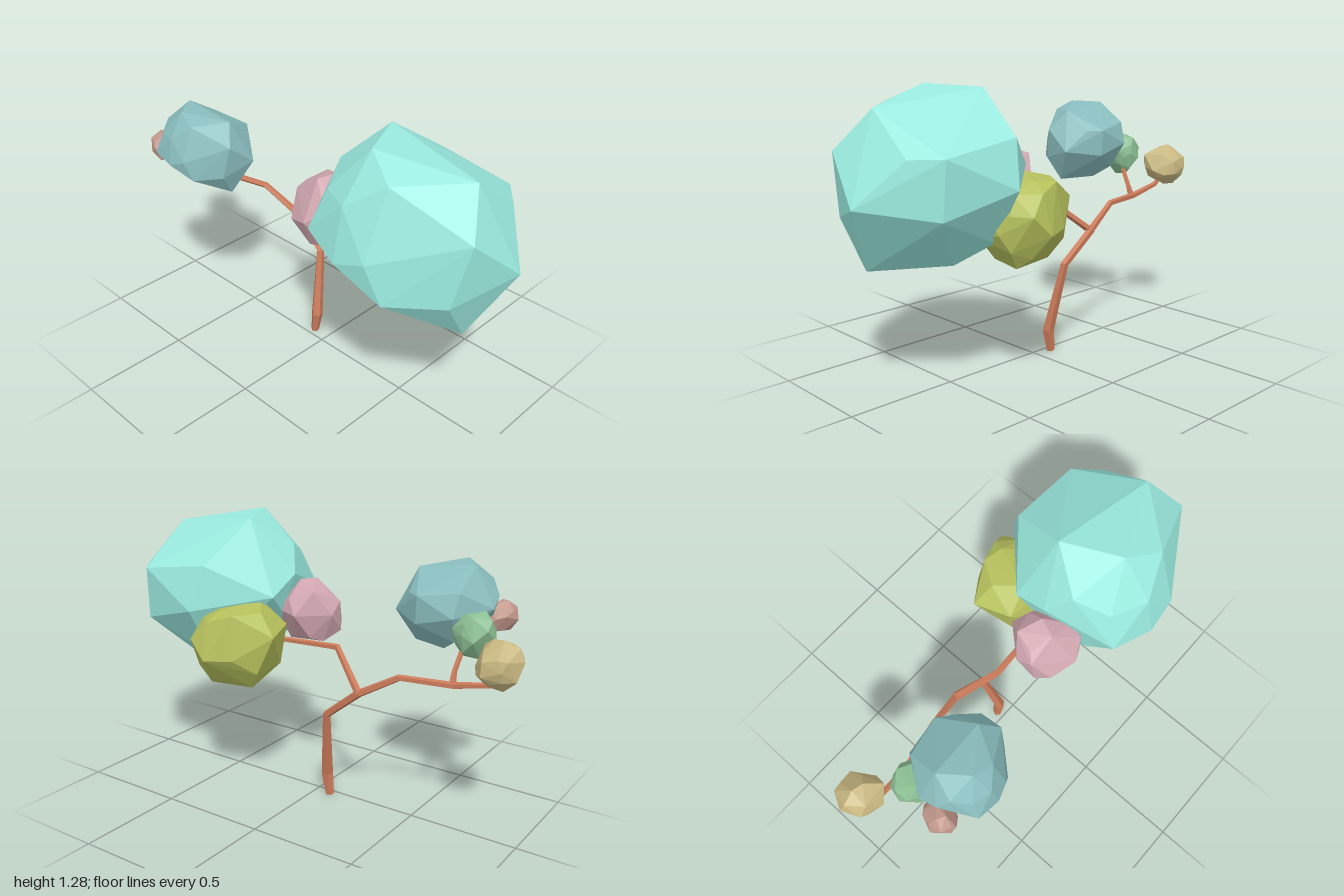
import * as THREE from 'three';
import { ConvexGeometry } from 'three/addons/geometries/ConvexGeometry.js';

const V = (x, y, z) => new THREE.Vector3(x, y, z);

// Corner points of the faceted leaf clump that every clump is a turned, resized copy of
const CLUMP = [
  [0.34, 1.27, -0.06], [0.455, 1.28, 0.19], [0.83, 1.21, 0.02], [0.93, 1.04, 0.16],
  [1.0, 0.845, -0.065], [0.855, 0.556, 0.07], [0.56, 0.56, -0.115], [0.845, 1.035, -0.21],
  [0.75, 1.04, -0.325], [0.44, 0.89, -0.385], [0.61, 1.205, 0.27], [0.6, 0.91, 0.385],
  [0.455, 0.86, 0.4], [0.26, 0.91, 0.34], [0.3, 1.08, 0.27], [0.45, 1.09, 0.345],
  [0.23, 1.14, 0.12], [0.165, 0.94, -0.13], [0.25, 0.73, 0.2], [0.455, 0.61, 0.1],
  [0.67, 0.745, 0.36], [0.88, 0.76, 0.21], [0.4, 1.09, -0.325], [0.76, 0.8, -0.31],
  [0.45, 0.66, -0.25], [0.19, 0.84, -0.02], [0.16, 1.02, 0.03],
];

const material = (color) => new THREE.MeshStandardMaterial({ color, flatShading: true });

// Leaf clump: turn the corner points, fit them into a box of the given centre and size, then yaw it
function clump(name, color, centre, size, turn = [0, 0, 0], yaw = 0) {
  const rotation = new THREE.Euler(...turn);
  const points = CLUMP.map((p) => V(...p).applyEuler(rotation));
  const from = new THREE.Box3().setFromPoints(points);
  const middle = from.getCenter(V(0, 0, 0));
  const scale = V(...size).divide(from.getSize(V(0, 0, 0)));
  points.forEach((p) => p.sub(middle).multiply(scale));
  const mesh = new THREE.Mesh(new ConvexGeometry(points), material(color));
  mesh.name = name;
  mesh.position.set(...centre);
  mesh.rotation.y = yaw;
  return mesh;
}

// Branch: five-sided rings swept along [x, y, z, radius] stations, with closed ends
function branch(name, stations, mat) {
  const sides = 5;
  const centres = stations.map((s) => V(s[0], s[1], s[2]));
  const last = centres.length - 1;
  const positions = [];
  const index = [];
  centres.forEach((c, j) => {
    const t = V(0, 0, 0);
    if (j > 0) t.add(c.clone().sub(centres[j - 1]).normalize());
    if (j < last) t.add(centres[j + 1].clone().sub(c).normalize());
    t.normalize();
    const n = V(0, 0, 1).addScaledVector(t, -t.z).normalize();
    const b = t.clone().cross(n);
    for (let i = 0; i < sides; i++) {
      const a = (i / sides) * Math.PI * 2;
      const p = c.clone()
        .addScaledVector(n, Math.cos(a) * stations[j][3])
        .addScaledVector(b, Math.sin(a) * stations[j][3]);
      positions.push(p.x, p.y, p.z);
      if (j < last) {
        const k = (i + 1) % sides;
        const lower = j * sides;
        const upper = lower + sides;
        index.push(lower + i, lower + k, upper + k, lower + i, upper + k, upper + i);
      }
    }
  });
  for (let i = 1; i < sides - 1; i++) {
    const end = last * sides;
    index.push(0, i + 1, i, end, end + i, end + i + 1);
  }
  const geometry = new THREE.BufferGeometry();
  geometry.setAttribute('position', new THREE.Float32BufferAttribute(positions, 3));
  geometry.setIndex(index);
  geometry.computeVertexNormals();
  const mesh = new THREE.Mesh(geometry, mat);
  mesh.name = name;
  return mesh;
}

export function createModel() {
  const tree = new THREE.Group();
  tree.name = 'tree';

  // Trunk and branches
  const bark = material(0xcb7b5a);
  tree.add(
    branch('trunk', [
      [-0.083, 0.004, -0.036, 0.02], [-0.067, 0.11, -0.035, 0.028],
      [-0.107, 0.435, -0.1, 0.019], [-0.28, 0.575, -0.11, 0.019],
    ], bark),
    branch('leftBranch', [
      [-0.265, 0.565, -0.11, 0.018], [-0.455, 0.67, -0.07, 0.015],
      [-0.685, 0.668, -0.02, 0.016], [-0.87, 0.705, -0.015, 0.013], [-0.91, 0.77, -0.04, 0.011],
    ], bark),
    branch('leftTwig', [
      [-0.68, 0.66, -0.02, 0.018], [-0.675, 0.72, 0.0, 0.012],
      [-0.685, 0.81, 0.05, 0.011], [-0.6, 0.9, 0.15, 0.009],
    ], bark),
    branch('rightBranch', [
      [-0.285, 0.565, -0.11, 0.018], [-0.1, 0.725, -0.005, 0.016],
      [0.2, 0.715, -0.02, 0.013], [0.32, 0.73, -0.08, 0.011],
    ], bark),
  );

  // Leaf clumps: name, colour, centre, size, turn, yaw
  tree.add(
    clump('largeTealClump', 0x9aeadf, [0.58, 0.918, 0.008], [0.84, 0.724, 0.785]),
    clump('smallTealClump', 0x8abdbe, [-0.544, 0.952, 0.208], [0.434, 0.374, 0.405], [0, 0.22, 0]),
    clump('pinkClump', 0xd2a8b1, [0.12, 0.844, 0.08], [0.31, 0.31, 0.325], [0.6, 1.9, 0.4]),
    clump('oliveClump', 0xb6c05c, [0.275, 0.722, -0.238], [0.425, 0.405, 0.34], [1.2, 2.6, 0.3], 0.65),
    clump('tanClump', 0xc8b780, [-0.898, 0.812, -0.05], [0.207, 0.205, 0.205], [2.1, 0.8, 1.1]),
    clump('roseClump', 0xc2988c, [-0.755, 0.91, 0.272], [0.14, 0.14, 0.165], [0.4, 3.4, 0.9]),
    clump('greenClump', 0x8cc094, [-0.72, 0.868, 0.09], [0.185, 0.205, 0.175], [1.7, 1.2, 2.2]),
  );
  return tree;
}
